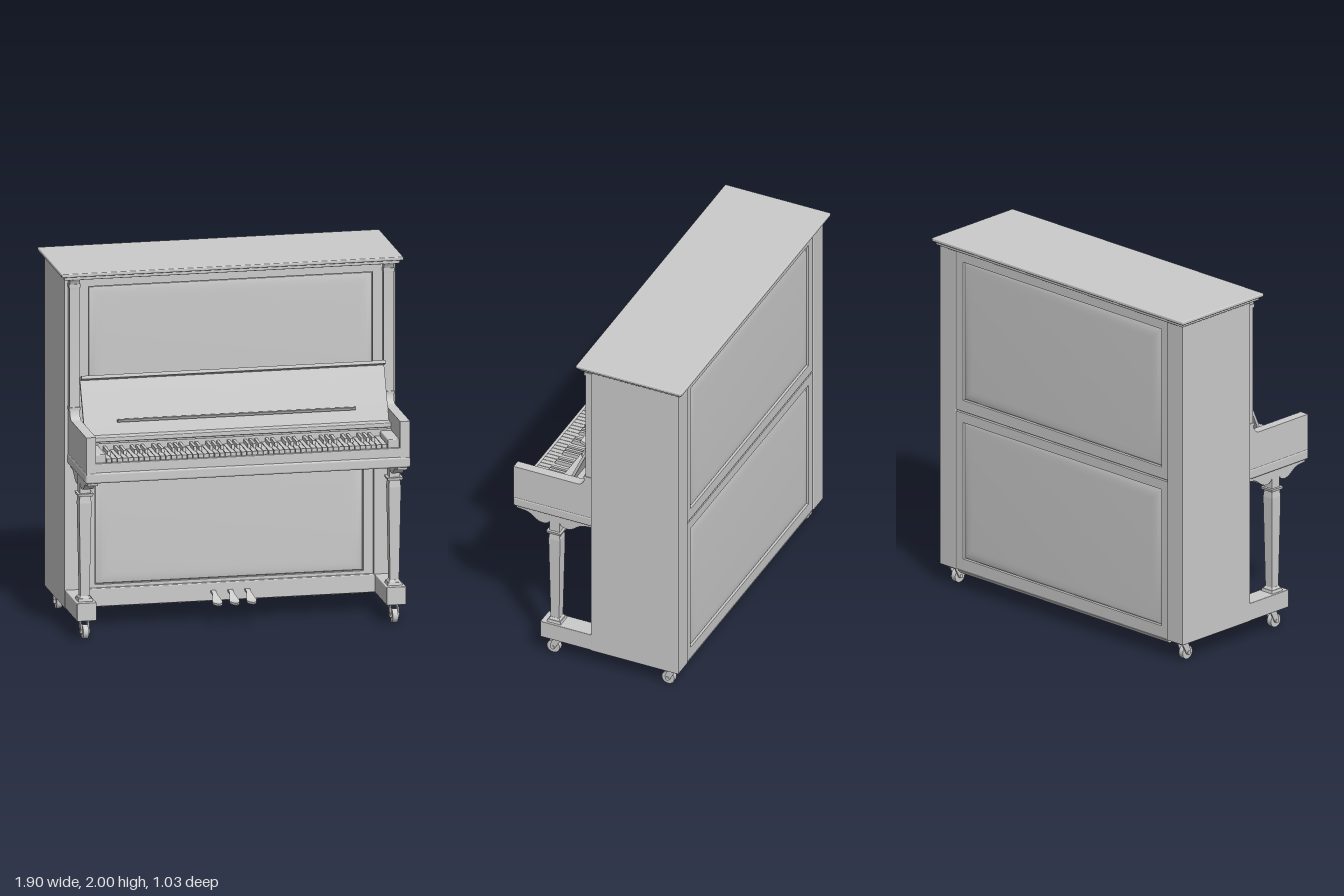
import * as THREE from 'three';
import { RoundedBoxGeometry } from 'three/addons/geometries/RoundedBoxGeometry.js';
import { toCreasedNormals } from 'three/addons/utils/BufferGeometryUtils.js';

const grey = new THREE.MeshStandardMaterial({ color: 0xcccccc });

export function createModel() {
  const model = new THREE.Group();

  const add = (name, geometry, parent = model) => {
    const mesh = new THREE.Mesh(geometry, grey);
    mesh.name = name;
    parent.add(mesh);
    return mesh;
  };
  // Box given by its limits on each axis
  const box = (name, x0, x1, y0, y1, z0, z1, parent, radius = 0) => {
    const size = [x1 - x0, y1 - y0, z1 - z0];
    const g = radius ? new RoundedBoxGeometry(...size, 2, radius) : new THREE.BoxGeometry(...size);
    return add(name, g.translate((x0 + x1) / 2, (y0 + y1) / 2, (z0 + z1) / 2), parent);
  };
  // Side profile drawn in (z, y), extruded across x
  const profile = (name, shape, x0, x1, parent) => {
    const g = new THREE.ExtrudeGeometry(shape, { depth: x1 - x0, bevelEnabled: false, curveSegments: 10 });
    g.rotateY(-Math.PI / 2).translate(x1, 0, 0);
    return add(name, toCreasedNormals(g, 0.6), parent);
  };
  const polygon = (pts) => new THREE.Shape(pts.map(([z, y]) => new THREE.Vector2(z, y)));
  const rect = (w, h, y, Type) => new Type([
    new THREE.Vector2(-w / 2, y - h / 2), new THREE.Vector2(w / 2, y - h / 2),
    new THREE.Vector2(w / 2, y + h / 2), new THREE.Vector2(-w / 2, y + h / 2),
  ]);
  // Frame around a raised field with rounded, sloping borders
  const panel = (name, w, y0, y1, holeW, h0, h1, z, back = false) => {
    const g = new THREE.Group();
    g.name = name;
    const frame = rect(w, y1 - y0, (y0 + y1) / 2, THREE.Shape);
    frame.holes.push(rect(holeW, h1 - h0, (h0 + h1) / 2, THREE.Path));
    add('panelFrame', new THREE.ExtrudeGeometry(frame, { depth: 0.018, bevelEnabled: false }), g);
    const field = new THREE.ExtrudeGeometry(rect(holeW, h1 - h0, (h0 + h1) / 2, THREE.Shape), {
      depth: 0.001, bevelThickness: 0.016, bevelSize: 0.07, bevelOffset: -0.07, bevelSegments: 4,
    });
    add('panelField', toCreasedNormals(field, 0.5), g);
    g.position.z = z;
    if (back) g.rotation.y = Math.PI;
    model.add(g);
  };

  // Case, lid and bottom
  box('caseCore', -0.81, 0.81, 0.11, 1.96, -0.465, 0.005);
  box('lid', -0.95, 0.95, 1.98, 2.0, -0.52, 0.115, model, 0.006);
  box('lidMoulding', -0.932, 0.932, 1.96, 1.982, -0.505, 0.1, model, 0.006);
  profile('bottomBoard', polygon([[-0.46, 0.085], [-0.05, 0.085], [-0.025, 0.112], [-0.485, 0.112]]), -0.79, 0.79);
  box('toeBoard', -0.805, 0.805, 0.11, 0.212, -0.01, 0.04, model, 0.006);

  // Decorated panels
  panel('upperFrontPanel', 1.69, 1.0, 1.96, 1.58, 1.2, 1.91, 0.035);
  panel('lowerFrontPanel', 1.61, 0.2, 0.93, 1.49, 0.23, 0.87, 0.003);
  panel('lowerBackPanel', 1.61, 0.11, 1.025, 1.5, 0.18, 0.97, -0.463, true);
  panel('upperBackPanel', 1.61, 1.035, 1.96, 1.5, 1.1, 1.9, -0.463, true);

  // Keybed
  box('keybed', -0.903, 0.903, 0.92, 0.98, 0.03, 0.515, model, 0.012);
  box('keyslip', -0.85, 0.85, 0.975, 1.03, 0.482, 0.506, model, 0.005);
  box('keyFrame', -0.85, 0.85, 0.975, 1.015, 0.03, 0.485);
  box('keyRail', -0.85, 0.85, 1.01, 1.085, 0.04, 0.282);
  box('keyRailTop', -0.85, 0.85, 1.09, 1.115, 0.04, 0.275, model, 0.005);

  // Fallboard with folded lip, and the music ledge
  profile('fallboard', polygon([[0.217, 1.11], [0.19, 1.18], [0.093, 1.395], [0.14, 1.415],
    [0.134, 1.432], [0.072, 1.405], [0.175, 1.175], [0.2, 1.11]]), -0.845, 0.845);
  profile('musicLedge', polygon([[0.178, 1.175], [0.215, 1.182], [0.222, 1.197], [0.213, 1.2],
    [0.208, 1.193], [0.172, 1.188]]), -0.66, 0.66);

  // Keys: 52 naturals, with sharps skipping two gaps per octave
  const keys = new THREE.Group();
  keys.name = 'keys';
  model.add(keys);
  const pitch = 1.56 / 52;
  for (let i = 0; i < 52; i++) {
    const x = -0.78 + i * pitch;
    box('naturalKey', x + 0.0015, x + pitch - 0.0015, 1.015, 1.048, 0.28, 0.478, keys);
    if (i < 51 && ![1, 4].includes(i % 7)) {
      const c = x + pitch;
      profile('sharpKey', polygon([[0.28, 1.04], [0.405, 1.04], [0.395, 1.07], [0.28, 1.07]]), c - 0.008, c + 0.008, keys);
    }
  }

  // Square-section moulding of given half-widths
  const taper = (name, x, z, y0, y1, r0, r1, parent) => {
    const g = new THREE.CylinderGeometry(r1 * Math.SQRT2, r0 * Math.SQRT2, y1 - y0, 4).toNonIndexed();
    g.computeVertexNormals();
    return add(name, g.rotateY(Math.PI / 4).translate(x, (y0 + y1) / 2, z), parent);
  };
  const castor = (x, z, parent) => {
    const g = new THREE.Group();
    g.name = 'castor';
    parent.add(g);
    const wheel = new THREE.CylinderGeometry(0.038, 0.038, 0.03, 24).rotateZ(Math.PI / 2);
    add('castorWheel', wheel.translate(x, 0.038, z), g);
    add('castorHub', new THREE.CylinderGeometry(0.012, 0.012, 0.056, 12).rotateZ(Math.PI / 2).translate(x, 0.038, z), g);
    const fork = polygon([[z - 0.05, 0.1], [z - 0.012, 0.03], [z + 0.012, 0.03], [z + 0.016, 0.05], [z - 0.005, 0.1]]);
    for (const s of [-1, 1]) profile('castorFork', fork, x + s * 0.021 - 0.004, x + s * 0.021 + 0.004, g);
    box('castorPlate', x - 0.027, x + 0.027, 0.095, 0.112, z - 0.055, z + 0.0, g);
  };

  // Arm and front pillar in one sweep
  const arm = new THREE.Shape();
  arm.moveTo(0.03, 0.97);
  arm.lineTo(0.512, 0.97);
  arm.lineTo(0.512, 1.18);
  arm.lineTo(0.13, 1.18);
  arm.quadraticCurveTo(0.083, 1.18, 0.08, 1.26);
  arm.lineTo(0.08, 1.9);
  arm.quadraticCurveTo(0.08, 1.94, 0.098, 1.962);
  arm.lineTo(0.03, 1.962);

  // Scrolled bracket below the keybed
  const bracket = new THREE.Shape();
  bracket.moveTo(0.04, 0.925);
  bracket.lineTo(0.05, 0.905);
  bracket.lineTo(0.09, 0.9);
  bracket.bezierCurveTo(0.14, 0.895, 0.15, 0.85, 0.2, 0.85);
  bracket.quadraticCurveTo(0.23, 0.85, 0.24, 0.875);
  bracket.lineTo(0.3, 0.875);
  bracket.quadraticCurveTo(0.31, 0.85, 0.34, 0.85);
  bracket.bezierCurveTo(0.39, 0.85, 0.4, 0.895, 0.45, 0.9);
  bracket.lineTo(0.498, 0.905);
  bracket.lineTo(0.5, 0.925);

  // Parts repeated on both sides
  for (const s of [1, -1]) {
    const side = new THREE.Group();
    side.name = s > 0 ? 'leftSide' : 'rightSide';
    model.add(side);
    const mx = (a, b) => (s > 0 ? [a, b] : [-b, -a]);
    const x = s * 0.86;
    box('sidePost', ...mx(0.8, 0.92), 0.11, 1.962, -0.488, 0.04, side, 0.005);
    profile('arm', arm, ...mx(0.845, 0.9), side);
    box('pillarCapital', ...mx(0.842, 0.904), 1.915, 1.935, 0.03, 0.087, side);
    box('pillarBase', ...mx(0.842, 0.904), 1.23, 1.245, 0.03, 0.089, side);
    box('keyBlock', ...mx(0.783, 0.85), 1.0, 1.075, 0.22, 0.482, side, 0.006);
    profile('bracket', bracket, ...mx(0.832, 0.888), side);
    box('footBlock', ...mx(0.805, 0.915), 0.11, 0.212, 0.03, 0.345, side, 0.004);
    taper('legPlinth', x, 0.27, 0.21, 0.228, 0.042, 0.038, side);
    taper('legBase', x, 0.27, 0.228, 0.24, 0.034, 0.026, side);
    taper('legShaft', x, 0.27, 0.235, 0.76, 0.025, 0.034, side);
    taper('legNeck', x, 0.27, 0.76, 0.805, 0.034, 0.029, side);
    taper('legCollar', x, 0.27, 0.8, 0.816, 0.04, 0.044, side);
    taper('legTop', x, 0.27, 0.816, 0.925, 0.03, 0.03, side);
    castor(x, 0.285, side);
    castor(x, -0.405, side);
  }

  // Pedals: a bar that dips and widens towards its rounded toe
  const widths = [0.013, 0.013, 0.013, 0.013, 0.015, 0.02, 0.025, 0.027, 0.025, 0.017, 0.004];
  for (const x of [-0.095, 0, 0.095]) {
    const g = new THREE.BoxGeometry(1, 0.012, 1, 1, 1, 10);
    const p = g.attributes.position;
    for (let i = 0; i < p.count; i++) {
      const t = p.getZ(i) + 0.5;
      const drop = THREE.MathUtils.smoothstep(t, 0.15, 0.8) * 0.036;
      p.setXYZ(i, x + 2 * p.getX(i) * widths[Math.round(t * 10)], p.getY(i) + 0.163 - drop, 0.03 + t * 0.18);
    }
    add('pedal', toCreasedNormals(g, 0.6));
  }

  return model;
}
